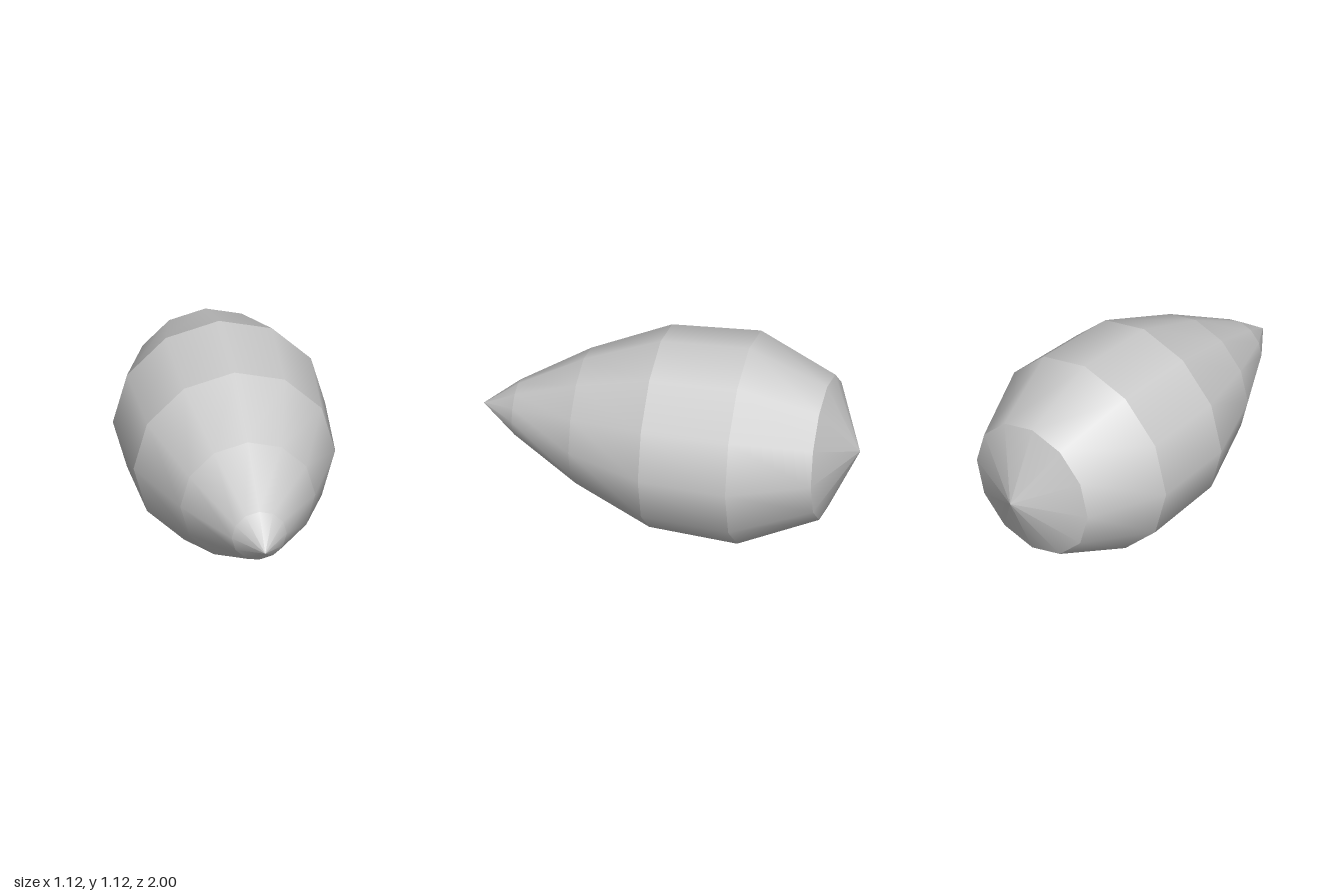
import * as THREE from 'three';

export function createModel() {
  const group = new THREE.Group();
  group.name = 'pointedPod';
  const grey = new THREE.MeshStandardMaterial({ color: 0xcccccc });
  grey.name = 'lightGrey';

  // Rings from the rear point to the nose: [z, radius]
  const rings = [
    [-1, 0], [-0.825, 0.38], [-0.41, 0.558], [0.06, 0.53],
    [0.47, 0.355], [0.82, 0.145], [1, 0],
  ];
  const names = ['rearCap', 'rearTaper', 'midBody', 'frontShoulder', 'frontTaper', 'noseTip'];

  // One 12-sided band between each pair of rings, creased where bands meet
  names.forEach((name, i) => {
    const [z0, r0] = rings[i];
    const [z1, r1] = rings[i + 1];
    const band = new THREE.CylinderGeometry(r1, r0, z1 - z0, 12, 1, true);
    band.rotateX(Math.PI / 2);
    band.translate(0, 0.559, (z0 + z1) / 2);
    const mesh = new THREE.Mesh(band, grey);
    mesh.name = name;
    group.add(mesh);
  });
  return group;
}
